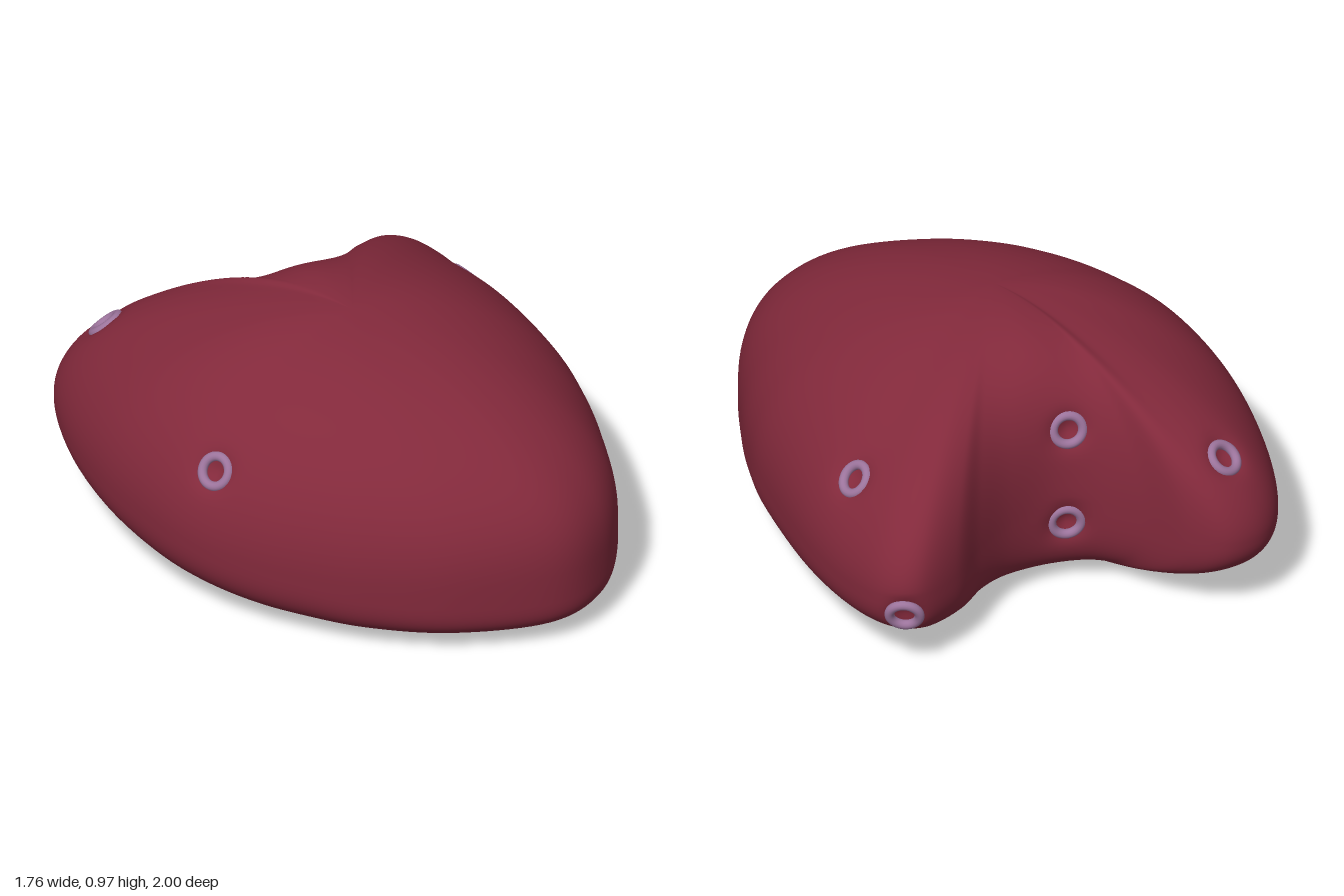
import * as THREE from 'three';

// Plan outline, starting at the back notch and going round past +x:
// [x, z, height of widest point, roundness above, roundness below]
const OUTLINE = [
  [-0.02, -0.605, 0.38, 2.1, 3.0],
  [0.15, -0.65, 0.37, 2.05, 3.0],
  [0.3, -0.755, 0.36, 2.0, 3.0],
  [0.44, -0.9, 0.35, 1.95, 3.0],
  [0.61, -0.985, 0.35, 1.92, 3.1],
  [0.73, -0.92, 0.34, 1.92, 3.2],
  [0.81, -0.71, 0.31, 1.95, 3.3],
  [0.865, -0.4, 0.3, 2.05, 3.4],
  [0.88, 0.0, 0.29, 2.2, 3.5],
  [0.862, 0.21, 0.28, 2.3, 3.6],
  [0.82, 0.42, 0.27, 2.45, 3.9],
  [0.73, 0.71, 0.26, 2.7, 4.4],
  [0.585, 0.905, 0.25, 2.85, 5.0],
  [0.36, 0.995, 0.25, 2.85, 5.0],
  [0.0, 0.923, 0.26, 2.6, 4.4],
  [-0.285, 0.77, 0.27, 2.35, 3.8],
  [-0.48, 0.61, 0.29, 2.15, 3.4],
  [-0.625, 0.455, 0.3, 2.05, 3.2],
  [-0.75, 0.27, 0.31, 2.0, 3.0],
  [-0.83, 0.05, 0.32, 2.05, 3.0],
  [-0.878, -0.25, 0.32, 2.05, 2.9],
  [-0.87, -0.555, 0.32, 1.95, 2.8],
  [-0.81, -0.82, 0.33, 1.88, 2.7],
  [-0.71, -0.96, 0.33, 1.85, 2.7],
  [-0.57, -1.0, 0.34, 1.85, 2.7],
  [-0.44, -0.925, 0.35, 1.95, 2.8],
  [-0.31, -0.755, 0.36, 2.0, 2.9],
  [-0.18, -0.645, 0.37, 2.05, 3.0],
];
// Contours are round near the middle and become the outline at the rim
const CORE_RADIUS = 0.8;

// Height of the top surface before rounding off, rising towards the back
const ridge = (z) => 0.962 - 0.13 * z;

// Approximate port positions; each snaps to the nearest point of the skin
const PORTS = [
  [-0.61, 0.6, -0.82], [-0.09, 0.675, -0.58], [-0.07, 0.29, -0.61],
  [0.7, 0.61, -0.55], [0.65, 0.27, -0.94], [-0.66, 0.59, 0.25],
];

// Closed skin: each column is a superellipse from the middle to rim to base
function bodyGeometry(cols = 240, rows = 100) {
  const loop = (f) => new THREE.CatmullRomCurve3(OUTLINE.map(f), true, 'catmullrom', 0.5);
  const rim = loop((p) => new THREE.Vector3(p[0], p[2], p[1]));
  const round = loop((p) => new THREE.Vector3(p[3], p[4], 0));
  const pos = [0, ridge(0), 0];
  for (let j = 1; j < rows; j++) {
    const phi = Math.PI * (0.5 - j / rows);
    for (let i = 0; i < cols; i++) {
      const e = rim.getPoint(i / cols);
      const r = round.getPoint(i / cols);
      const power = 2 / (phi > 0 ? r.x : r.y);
      const s = Math.pow(Math.cos(phi), power);
      const h = Math.pow(Math.abs(Math.sin(phi)), power);
      const reach = s * THREE.MathUtils.lerp(CORE_RADIUS / Math.hypot(e.x, e.z), 1, s * s);
      const z = e.z * reach;
      const y = phi > 0 ? e.y + (ridge(z) - e.y) * h : e.y * (1 - h);
      pos.push(e.x * reach, y, z);
    }
  }
  pos.push(0, 0, 0);

  const last = pos.length / 3 - 1;
  const id = (i, j) => (j === 0 ? 0 : j === rows ? last : 1 + (j - 1) * cols + (i % cols));
  const index = [];
  for (let j = 0; j < rows; j++) {
    for (let i = 0; i < cols; i++) {
      const a = id(i, j), b = id(i, j + 1), c = id(i + 1, j + 1), d = id(i + 1, j);
      if (j < rows - 1) index.push(a, c, b);
      if (j > 0) index.push(a, d, c);
    }
  }
  const g = new THREE.BufferGeometry();
  g.setAttribute('position', new THREE.Float32BufferAttribute(pos, 3));
  g.setIndex(index);
  g.computeVertexNormals();
  return g;
}

// Nearest skin point and its outward direction
function snap(geometry, target) {
  const p = geometry.attributes.position, n = geometry.attributes.normal;
  const v = new THREE.Vector3();
  let best = 0, bestD = Infinity;
  for (let i = 0; i < p.count; i++) {
    const d = v.fromBufferAttribute(p, i).distanceToSquared(target);
    if (d < bestD) { bestD = d; best = i; }
  }
  return {
    point: new THREE.Vector3().fromBufferAttribute(p, best),
    normal: new THREE.Vector3().fromBufferAttribute(n, best),
  };
}

// Press a small smooth dimple into the skin at each port
function dimple(geometry, ports) {
  const p = geometry.attributes.position;
  const v = new THREE.Vector3();
  for (let i = 0; i < p.count; i++) {
    v.fromBufferAttribute(p, i);
    for (const { point, normal } of ports) {
      const d = v.distanceTo(point);
      if (d < 0.15) v.addScaledVector(normal, -0.04 * Math.exp(-((d / 0.06) ** 2)));
    }
    p.setXYZ(i, v.x, v.y, v.z);
  }
  geometry.computeVertexNormals();
}

export function createModel() {
  const model = new THREE.Group();
  model.name = 'lobedBody';
  const skin = new THREE.MeshStandardMaterial({ color: 0x82293b });
  const rimColor = new THREE.MeshStandardMaterial({ color: 0x9c749c });

  const geometry = bodyGeometry();
  const ports = PORTS.map((p) => snap(geometry, new THREE.Vector3(...p)));
  dimple(geometry, ports);
  const body = new THREE.Mesh(geometry, skin);
  body.name = 'body';
  model.add(body);

  // Rings around the ports
  const ringGeometry = new THREE.TorusGeometry(0.055, 0.018, 14, 40);
  const forward = new THREE.Vector3(0, 0, 1);
  ports.forEach(({ point, normal }, i) => {
    const ring = new THREE.Mesh(ringGeometry, rimColor);
    ring.name = `portRing${i + 1}`;
    ring.position.copy(point).addScaledVector(normal, -0.018);
    ring.quaternion.setFromUnitVectors(forward, normal);
    model.add(ring);
  });
  return model;
}
